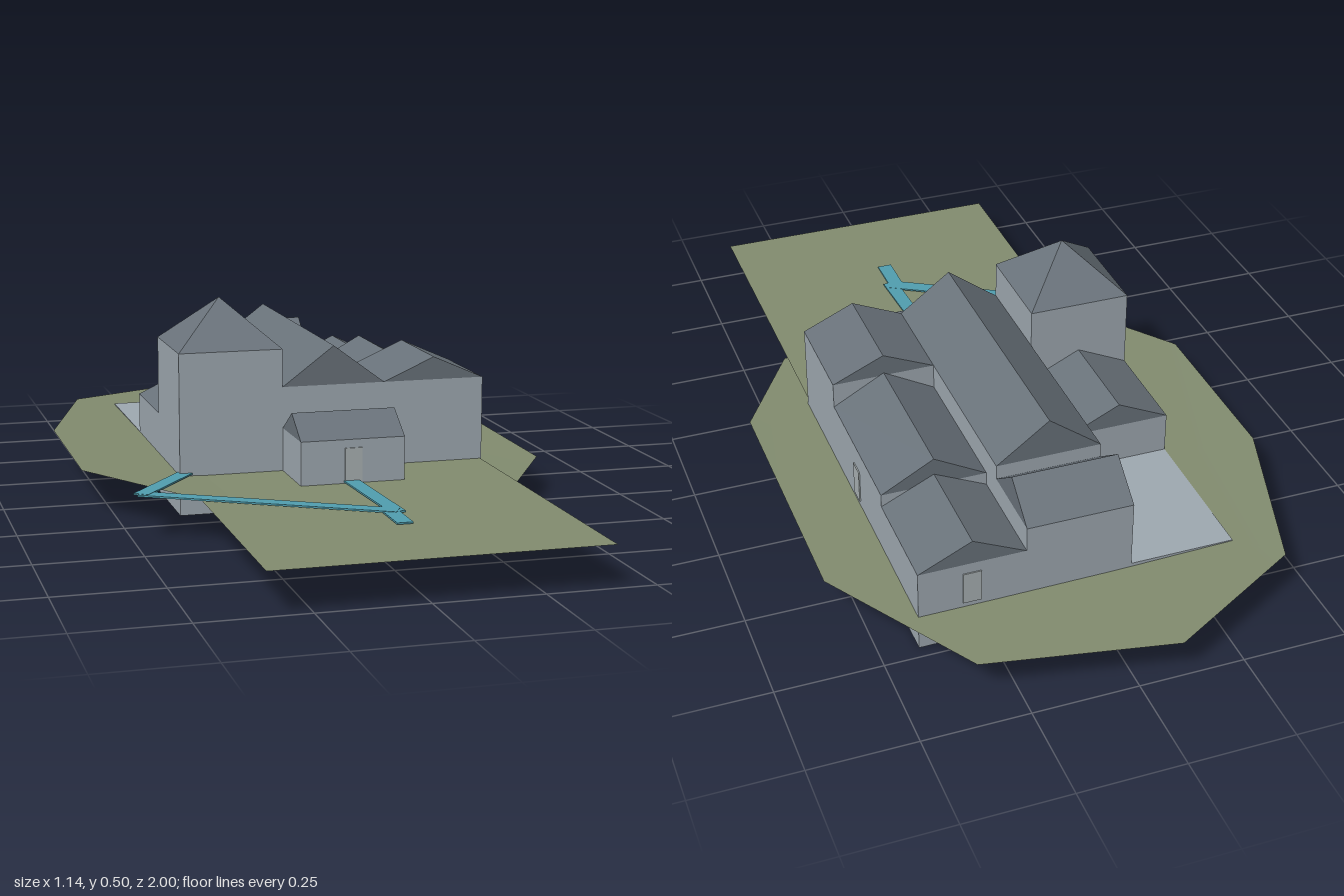
import * as THREE from 'three';

const mat = (name, color, extra = {}) => {
  const m = new THREE.MeshStandardMaterial({ color, ...extra });
  m.name = name;
  return m;
};

export function createModel() {
  const model = new THREE.Group();
  model.name = 'walledBuildingOnLawn';
  const stone = mat('paleStone', 0x9fa9b1);
  const slate = mat('slateRoof', 0x69727a);
  const grass = mat('grass', 0x828c6f, { side: THREE.DoubleSide });
  const paving = mat('bluePath', 0x519fb0);
  const doorPaint = mat('doorGrey', 0xa9b1b3);

  const add = (name, geo, material) => {
    const mesh = new THREE.Mesh(geo, material);
    mesh.name = name;
    model.add(mesh);
    return mesh;
  };
  // Box given by its limits on each axis
  const block = (name, x0, x1, y0, y1, z0, z1, material = stone) =>
    add(name, new THREE.BoxGeometry(x1 - x0, y1 - y0, z1 - z0), material)
      .position.set((x0 + x1) / 2, (y0 + y1) / 2, (z0 + z1) / 2);
  // Triangular roof prism with its ridge along x or z
  const gable = (name, x0, x1, z0, z1, eaves, ridge, axis) => {
    const alongZ = axis === 'z';
    const span = alongZ ? x1 - x0 : z1 - z0;
    const length = alongZ ? z1 - z0 : x1 - x0;
    const shape = new THREE.Shape([
      new THREE.Vector2(-span / 2, 0),
      new THREE.Vector2(span / 2, 0),
      new THREE.Vector2(0, ridge - eaves),
    ]);
    const geo = new THREE.ExtrudeGeometry(shape, { depth: length, bevelEnabled: false });
    geo.translate(0, 0, -length / 2);
    if (!alongZ) geo.rotateY(Math.PI / 2);
    add(name, geo, slate).position.set((x0 + x1) / 2, eaves, (z0 + z1) / 2);
  };

  // Foundation, whose top is the open courtyard
  block('foundation', -0.35, 0.41, 0, 0.1, -0.72, 0.17);

  // Wings: name, x0, x1, z0, z1, eaves, ridge, ridge axis, wall bottom
  const L = -0.35, A = -0.097, B = 0.157, R = 0.41;
  const wings = [
    ['hall', A, B, -0.525, 0.17, 0.3, 0.395, 'z', 0.1],
    ['rearHall', A, B, -0.72, -0.525, 0.265, 0.338, 'x', 0.1],
    ['porch', A, B, 0.17, 0.335, 0.2, 0.253, 'x', 0.08],
    ['frontWing', B, R, -0.085, 0.17, 0.3, 0.356, 'z', 0.1],
    ['middleWing', B, R, -0.46, -0.085, 0.237, 0.307, 'z', 0.1],
    ['rearWing', B, R, -0.72, -0.46, 0.205, 0.265, 'z', 0.1],
    ['annex', L, A, -0.34, -0.08, 0.2, 0.26, 'z', 0.1],
  ];
  for (const [name, x0, x1, z0, z1, eaves, ridge, axis, bottom] of wings) {
    block(name + 'Walls', x0, x1, bottom, eaves, z0, z1);
    gable(name + 'Roof', x0, x1, z0, z1, eaves, ridge, axis);
  }

  // Square tower with a pyramid roof
  block('towerWalls', L, A, 0.1, 0.392, -0.082, 0.17);
  const pyramid = new THREE.ConeGeometry(0.253 / Math.SQRT2, 0.113, 4, 1, false, Math.PI / 4).toNonIndexed();
  pyramid.computeVertexNormals();
  add('towerRoof', pyramid, slate).position.set((L + A) / 2, 0.392 + 0.0565, 0.044);

  // Doors
  block('porchDoor', 0.01, 0.052, 0.1, 0.18, 0.334, 0.338, doorPaint);
  block('sideDoor', 0.409, 0.413, 0.1, 0.183, -0.29, -0.247, doorPaint);
  block('backDoor', 0.263, 0.306, 0.1, 0.18, -0.723, -0.719, doorPaint);

  // Uneven ground: a fan from the middle to a rim of x, y, z points
  const rim = [
    [-0.57, 0.106, -0.38], [-0.57, 0.104, 0.08], [-0.37, 0.097, 0.37], [0.41, 0.08, 0.4],
    [0.57, 0.083, 0.14], [0.57, 0.087, -0.53], [0.34, 0.088, -0.91], [-0.1, 0.092, -1], [-0.44, 0.1, -0.81],
  ];
  const ground = new THREE.BufferGeometry();
  ground.setAttribute('position', new THREE.Float32BufferAttribute([0, 0.088, -0.3, ...rim.flat()], 3));
  ground.setIndex(rim.flatMap((_, i) => [0, i + 1, ((i + 1) % rim.length) + 1]));
  ground.computeVertexNormals();
  add('ground', ground, grass);

  // Flat front lawn
  const lawn = new THREE.PlaneGeometry(0.757, 0.83).rotateX(-Math.PI / 2);
  add('frontLawn', lawn, grass).position.set(0.029, 0.095, 0.585);

  // Paths: thin strips between two points on the ground
  const path = (name, x0, z0, x1, z1, y) => {
    const strip = new THREE.BoxGeometry(Math.hypot(x1 - x0, z1 - z0), 0.004, 0.037);
    const mesh = add(name, strip, paving);
    mesh.position.set((x0 + x1) / 2, y, (z0 + z1) / 2);
    mesh.rotation.y = -Math.atan2(z1 - z0, x1 - x0);
  };
  path('porchPath', 0.026, 0.335, 0.042, 0.64, 0.1);
  path('entrancePath', 0.028, 0.6, 0.028, 0.735, 0.0995);
  path('lawnPath', 0.045, 0.632, -0.477, 0.331, 0.1005);
  path('towerPath', -0.477, 0.341, -0.335, 0.16, 0.101);

  return model;
}
